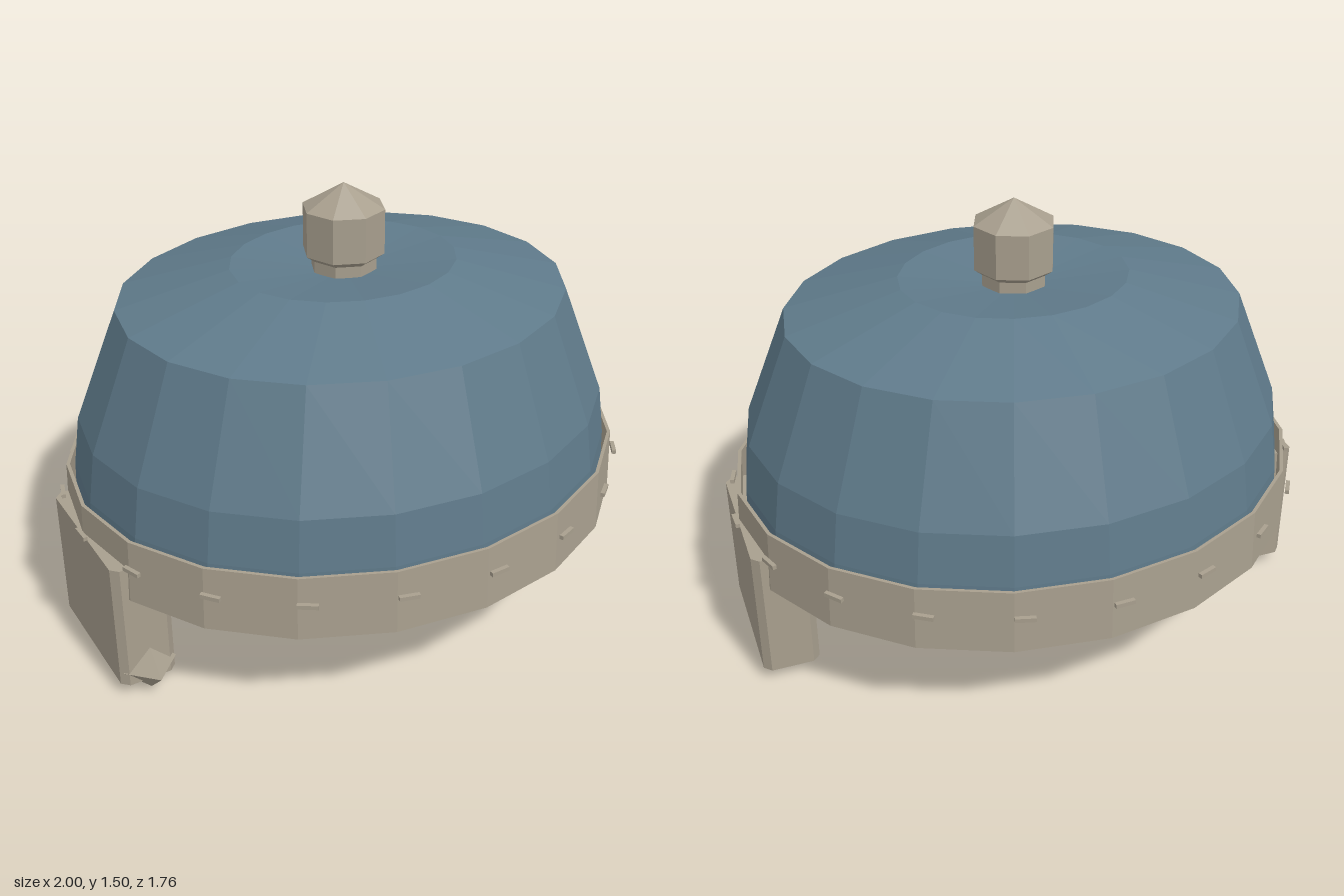
import * as THREE from 'three';

const SIDES = 20;
const DEPTH = 0.88; // the helmet is an ellipse, shallower in z

const blue = new THREE.MeshStandardMaterial({ color: 0x5f7a8a, flatShading: true, side: THREE.DoubleSide });
const tan = new THREE.MeshStandardMaterial({ color: 0xa89f8e, flatShading: true });

function addMesh(parent, name, geometry, material) {
  const mesh = new THREE.Mesh(geometry, material);
  mesh.name = name;
  parent.add(mesh);
  return mesh;
}

// Profile points are [radius, height], listed from the bottom up
function lathe(points, sides) {
  return new THREE.LatheGeometry(points.map(([r, y]) => new THREE.Vector2(r, y)), sides);
}

export function createModel() {
  const model = new THREE.Group();
  model.name = 'helmet';

  // Open dome with a slightly dished crown
  const dome = lathe([[0.95, 0.4], [0.94, 0.6], [0.915, 0.77], [0.765, 1.14], [0.385, 1.24], [0, 1.2]], SIDES);
  addMesh(model, 'dome', dome, blue).scale.z = DEPTH;

  // Thin loose band around the rim
  const band = lathe([[0.968, 0.385], [0.98, 0.385], [0.97, 0.6], [0.958, 0.6], [0.968, 0.385]], SIDES);
  addMesh(model, 'band', band, tan).scale.z = DEPTH;

  // Eight-sided knob with a pointed cap
  const knob = lathe([[0, 1.19], [0.11, 1.19], [0.11, 1.25], [0.137, 1.27], [0.137, 1.42], [0, 1.5]], 8);
  addMesh(model, 'knob', knob, tan);

  // Stitches around the band
  const stitches = new THREE.Group();
  stitches.name = 'stitches';
  model.add(stitches);
  const stitchGeometry = new THREE.BoxGeometry(0.065, 0.014, 0.014);
  for (let i = 0; i < SIDES; i++) {
    const angle = (i / SIDES) * Math.PI * 2 + 0.035;
    const stitch = addMesh(stitches, 'stitch', stitchGeometry, tan);
    stitch.position.set(Math.sin(angle) * 0.99, 0.515, Math.cos(angle) * 0.87);
    stitch.rotation.y = angle;
  }

  // Cheek guard outline seen from above, with chamfered corners
  const w = 0.095, d = 0.26, c = 0.024;
  const outline = new THREE.Shape([
    [w, -d + c], [w, d - c], [w - c, d], [-w + c, d],
    [-w, d - c], [-w, -d + c], [-w + c, -d], [w - c, -d],
  ].map(([x, y]) => new THREE.Vector2(x, y)));
  const guardGeometry = new THREE.ExtrudeGeometry(outline, { depth: 0.45, bevelEnabled: false });
  guardGeometry.rotateX(-Math.PI / 2);
  const studGeometry = new THREE.OctahedronGeometry(0.093);

  // Cheek guards, each with a pointed stud at its lower front
  for (const [side, label] of [[1, 'left'], [-1, 'right']]) {
    addMesh(model, label + 'CheekGuard', guardGeometry, tan).position.set(side * 0.885, 0.05, 0);
    addMesh(model, label + 'Stud', studGeometry, tan).position.set(side * 0.88, 0.095, 0.245);
  }

  return model;
}
